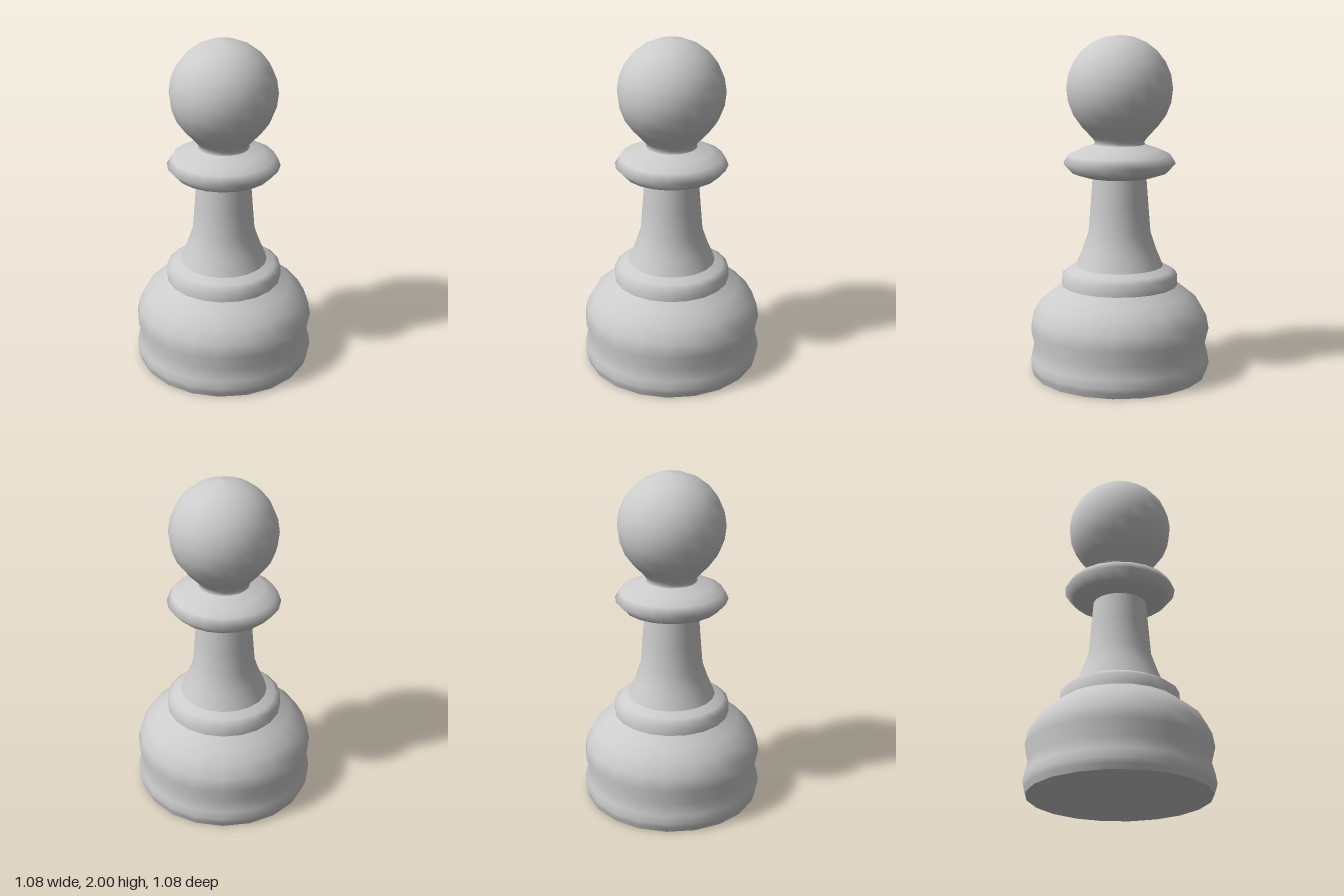
import * as THREE from 'three';

const SIDES = 20;

export function createModel() {
  const group = new THREE.Group();
  const material = new THREE.MeshStandardMaterial({ color: 0xcccccc });

  // Turned part from [radius, height] pairs, listed from bottom to top
  function turned(name, profile) {
    const points = profile.map(([r, y]) => new THREE.Vector2(r, y));
    const mesh = new THREE.Mesh(new THREE.LatheGeometry(points, SIDES), material);
    mesh.name = name;
    group.add(mesh);
  }

  // Flat underside, kept apart for a crisp edge
  turned('underside', [[0, 0], [0.52, 0]]);

  // Wide base with a shallow waist and rounded shoulder
  turned('base', [
    [0.52, 0], [0.53, 0.03], [0.538, 0.06], [0.53, 0.11], [0.512, 0.18], [0.534, 0.27],
    [0.52, 0.35], [0.475, 0.43], [0.41, 0.485], [0.345, 0.535],
  ]);

  // Step ring on the shoulder
  turned('footRing', [[0.345, 0.535], [0.343, 0.6], [0.31, 0.625], [0.26, 0.65]]);

  // Tapered stem
  turned('stem', [[0.26, 0.65], [0.22, 0.745], [0.184, 0.85], [0.171, 1.01], [0.158, 1.18]]);

  // Collar disc under the head
  turned('collar', [
    [0.158, 1.18], [0.2, 1.18], [0.28, 1.205], [0.33, 1.26],
    [0.3, 1.31], [0.235, 1.34], [0.15, 1.37],
  ]);

  // Ball head flowing out of a short neck
  const headProfile = [[0.15, 1.37], [0.145, 1.385], [0.163, 1.41]];
  const radius = 0.31;
  for (let i = 0; i <= 9; i++) {
    const a = THREE.MathUtils.lerp(-0.76, Math.PI / 2, i / 9);
    headProfile.push([i === 9 ? 0 : radius * Math.cos(a), 1.69 + radius * Math.sin(a)]);
  }
  turned('head', headProfile);

  return group;
}
